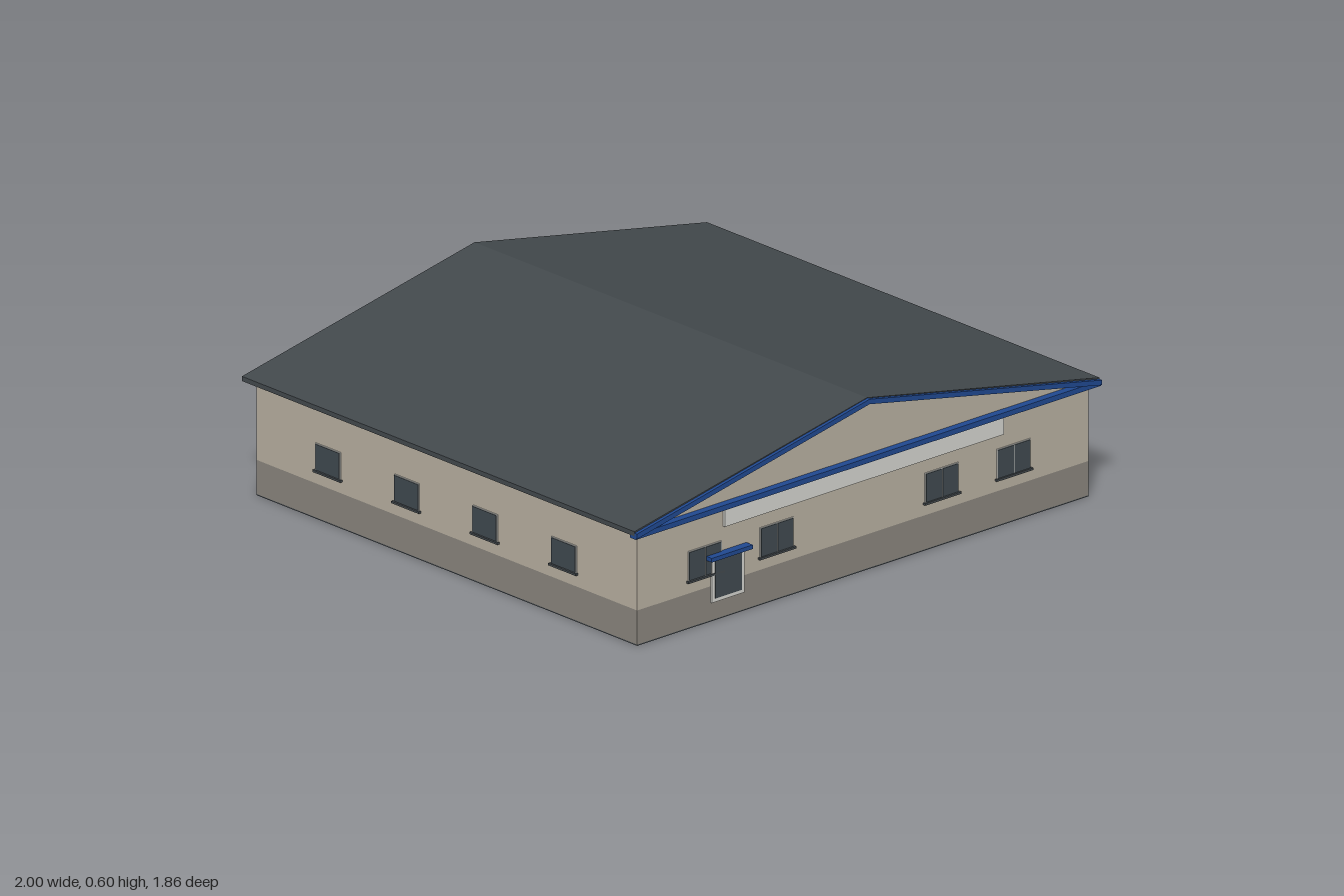
import * as THREE from 'three';

const mat = (name, hex) => {
  const m = new THREE.MeshStandardMaterial({ color: hex });
  m.name = name;
  return m;
};

export function createModel() {
  const root = new THREE.Group();
  root.name = 'building';
  const wall = mat('beige wall', 0xb6ae9f);
  const stone = mat('grey plinth', 0x89847c);
  const dark = mat('dark roof', 0x42484c);
  const blue = mat('blue trim', 0x20488f);
  const white = mat('white frame', 0xd2d2cd);
  const glass = mat('dark glass', 0x3f484e);

  // Box given by its limits on each axis
  const box = (name, m, x0, x1, y0, y1, z0, z1, parent = root) => {
    const mesh = new THREE.Mesh(new THREE.BoxGeometry(x1 - x0, y1 - y0, z1 - z0), m);
    mesh.position.set((x0 + x1) / 2, (y0 + y1) / 2, (z0 + z1) / 2);
    mesh.name = name;
    parent.add(mesh);
  };
  // Outline in the xy plane pushed from z0 to z1
  const prism = (name, m, pts, z0, z1) => {
    const shape = new THREE.Shape(pts.map(p => new THREE.Vector2(...p)));
    const geo = new THREE.ExtrudeGeometry(shape, { depth: z1 - z0, bevelEnabled: false });
    geo.translate(0, 0, z0);
    const mesh = new THREE.Mesh(geo, m);
    mesh.name = name;
    root.add(mesh);
  };
  // Chevron band following the roof slope
  const chevron = (x, eave, ridge, t) => [
    [-x, eave - t], [0, ridge - t], [x, eave - t], [x, eave], [0, ridge], [-x, eave],
  ];

  // Body
  box('floorSlab', dark, -0.97, 0.97, 0, 0.004, -0.895, 0.895);
  box('plinth', stone, -0.97, 0.97, 0.004, 0.12, -0.895, 0.895);
  prism('walls', wall,
    [[-0.97, 0.12], [0.97, 0.12], [0.97, 0.393], [0, 0.583], [-0.97, 0.393]], -0.895, 0.895);

  // Roof and blue front trim
  prism('roof', dark, chevron(1, 0.402, 0.596, 0.016), -0.93, 0.915);
  prism('gableFascia', blue, chevron(1, 0.397, 0.594, 0.017), 0.915, 0.927);
  box('gableBeam', blue, -1, 1, 0.376, 0.394, 0.895, 0.922);
  box('signBand', white, -0.6, 0.6, 0.31, 0.376, 0.895, 0.903);

  // Window facing +z, origin at the centre of its foot
  const makeWindow = (w, h, split) => {
    const g = new THREE.Group();
    g.name = 'window';
    box('windowFrame', white, -w / 2, w / 2, 0, h, 0, 0.003, g);
    const e = 0.003;
    const panes = split ? [[-w / 2 + e, -0.002], [0.002, w / 2 - e]] : [[-w / 2 + e, w / 2 - e]];
    for (const [a, b] of panes) box('windowPane', glass, a, b, e, h - e, 0.003, 0.005, g);
    box('windowSill', dark, -w / 2 - 0.006, w / 2 + 0.006, -0.005, 0.002, 0, 0.01, g);
    root.add(g);
    return g;
  };
  for (const x of [-0.68, -0.372, 0.338, 0.647])
    makeWindow(0.144, 0.102, true).position.set(x, 0.162, 0.895);
  for (const side of [-1, 1])
    for (const z of [0.552, 0.182, -0.186, -0.556]) {
      const g = makeWindow(0.118, 0.094, false);
      g.position.set(side * 0.97, 0.165, z);
      g.rotation.y = side * Math.PI / 2;
    }

  // Entrance
  box('doorFrame', white, -0.655, -0.515, 0.065, 0.216, 0.895, 0.902);
  box('door', glass, -0.642, -0.528, 0.078, 0.216, 0.902, 0.905);
  box('doorCanopy', blue, -0.677, -0.5, 0.215, 0.229, 0.895, 0.925);

  return root;
}
